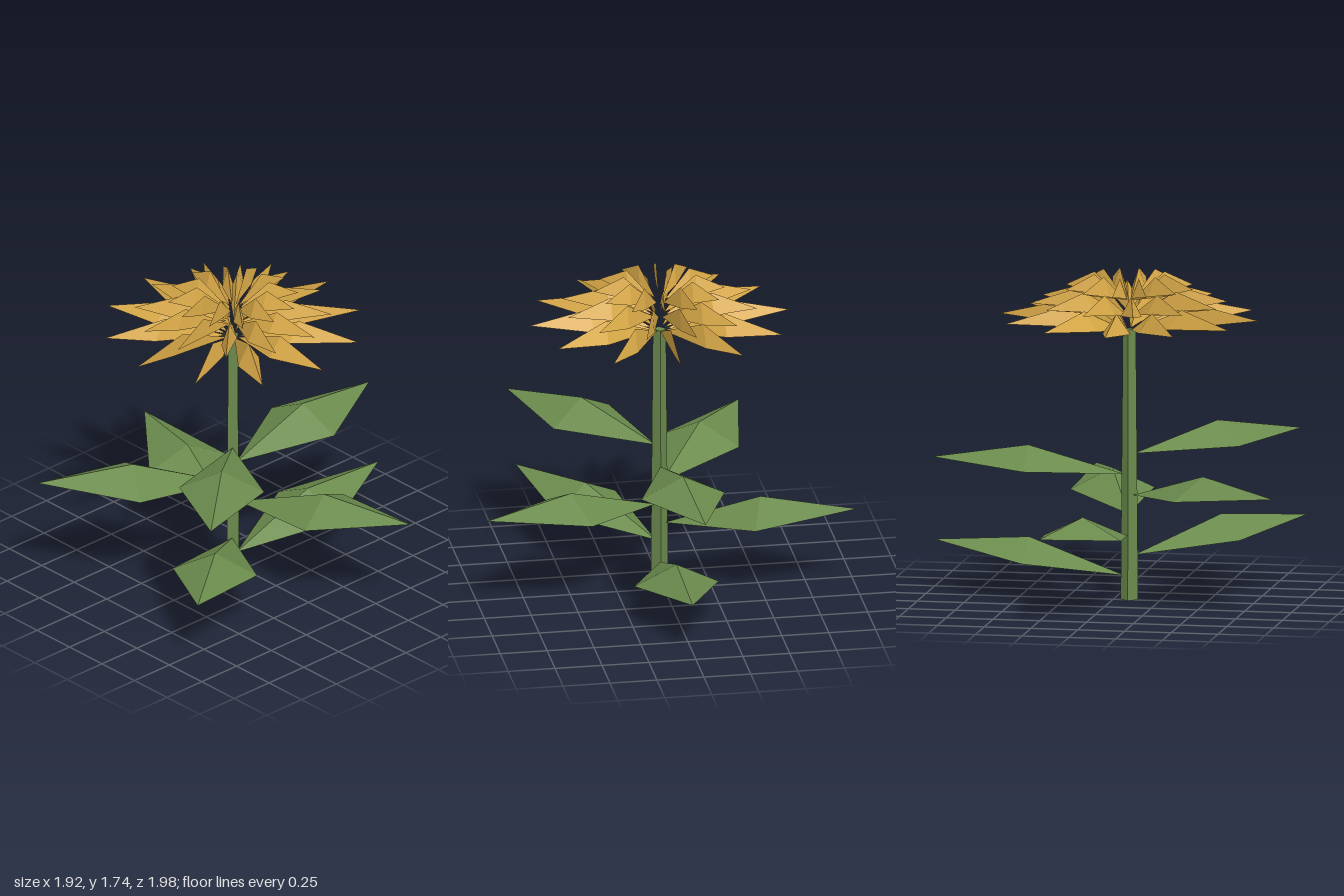
import * as THREE from 'three';

// Folded blade: base, two side corners, tip and a raised ridge point.
function blade(base, tip, side, ridgeHeight) {
  const mid = base.clone().lerp(tip, 0.5);
  const left = mid.clone().add(side);
  const right = mid.clone().sub(side);
  const ridge = mid.clone().setY(mid.y + ridgeHeight);
  const corners = [
    base, left, ridge,
    left, tip, ridge,
    tip, right, ridge,
    right, base, ridge,
  ];
  const geometry = new THREE.BufferGeometry().setFromPoints(corners);
  geometry.computeVertexNormals();
  return geometry;
}

const polar = (angle, r, y) => new THREE.Vector3(Math.cos(angle) * r, y, Math.sin(angle) * r);

export function createModel() {
  const green = new THREE.MeshStandardMaterial({ color: 0x6b8b4d, flatShading: true, side: THREE.DoubleSide });
  green.name = 'leaf green';
  const gold = new THREE.MeshStandardMaterial({ color: 0xdaaa48, flatShading: true, side: THREE.DoubleSide });
  gold.name = 'petal gold';

  const plant = new THREE.Group();
  plant.name = 'flower';
  plant.position.set(-0.085, 0, 0.01);

  const add = (geometry, material, name) => {
    const mesh = new THREE.Mesh(geometry, material);
    mesh.name = name;
    plant.add(mesh);
    return mesh;
  };

  // Square tapered stem
  add(new THREE.CylinderGeometry(0.035, 0.047, 1.44, 4), green, 'stem').position.y = 0.72;

  // Leaves spiral up the stem, flattening out towards the top
  for (let i = 0; i < 7; i++) {
    const angle = i * 2.5;
    const y = 0.127 + i * 0.108;
    const across = polar(angle + Math.PI / 2, 0.225, 0);
    add(blade(polar(angle, 0.025, y), polar(angle, 1.045, y + 0.163 - i * 0.018), across, 0.11), green, 'leaf');
  }

  // Three petal rings; every petal is widened along x only
  for (let ring = 0; ring < 3; ring++) {
    const length = 0.692 - ring * 0.173;
    const y = 1.44 + ring * 0.08;
    const across = new THREE.Vector3(length * 0.108, 0, 0);
    for (let i = 0; i < 12; i++) {
      const angle = (i / 12) * Math.PI * 2 + ring * 0.3;
      add(blade(polar(angle, 0.035, y), polar(angle, length, y + 0.063), across, 0.107), gold, 'petal');
    }
  }

  const model = new THREE.Group();
  model.add(plant);
  return model;
}
